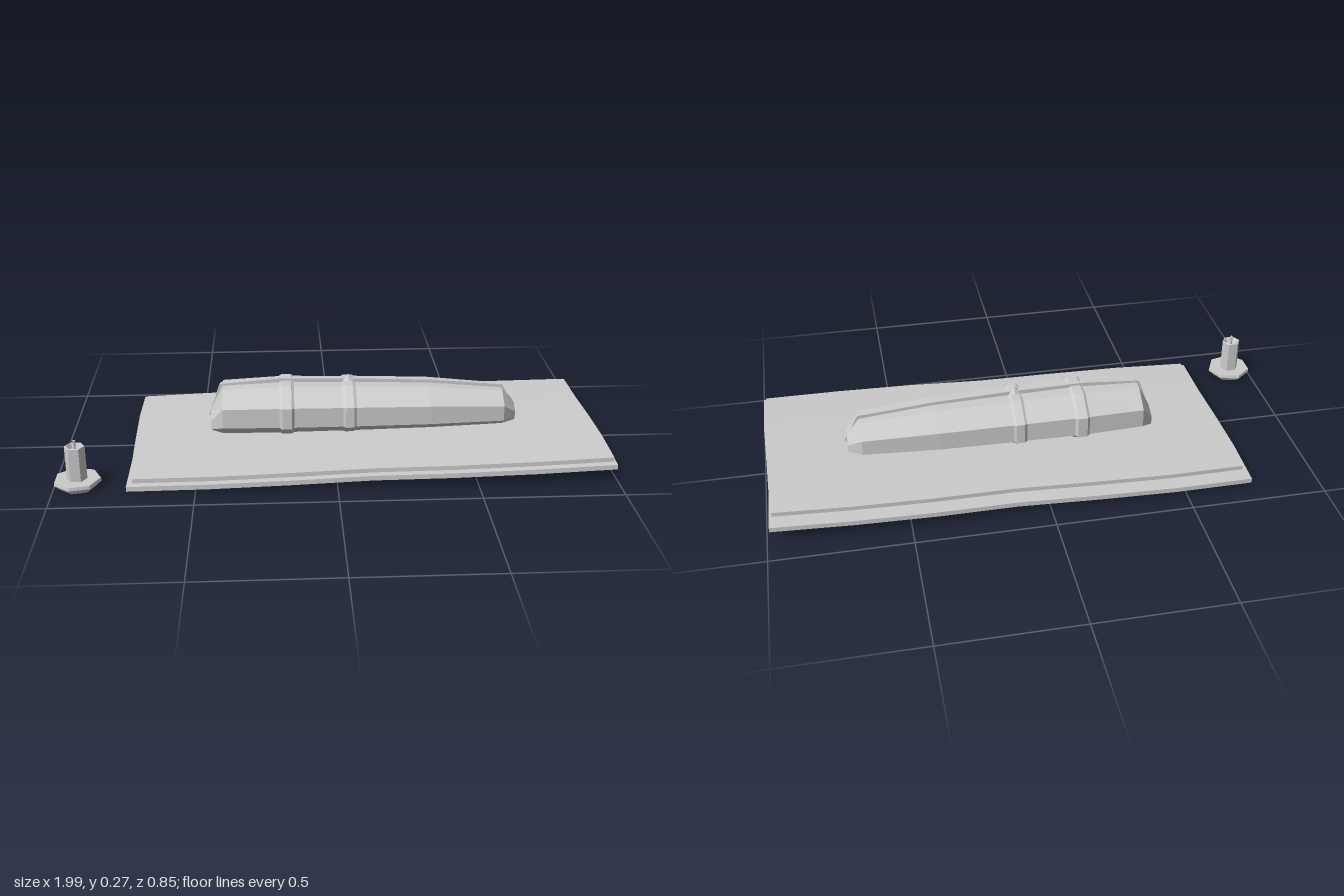
import * as THREE from 'three';

const grey = new THREE.MeshStandardMaterial({ color: 0xcccccc, flatShading: true });
grey.name = 'plain grey';

function part(name, geometry, x = 0, y = 0, z = 0) {
  const mesh = new THREE.Mesh(geometry, grey);
  mesh.name = name;
  mesh.position.set(x, y, z);
  return mesh;
}

// Closed skin through octagonal rings [x, centre y, half height, half width]
function loftAlongX(rings, zMid) {
  const n = 8, pos = [], index = [], k = 1 / Math.cos(Math.PI / n);
  for (const [x, cy, ry, rz] of rings) {
    for (let j = 0; j < n; j++) {
      const a = (j + 0.5) / n * Math.PI * 2;
      pos.push(x, cy + ry * k * Math.sin(a), zMid + rz * k * Math.cos(a));
    }
  }
  const last = (rings.length - 1) * n;
  for (let i = 0; i < last; i += n) {
    for (let j = 0; j < n; j++) {
      const a = i + j, b = i + (j + 1) % n;
      index.push(a, a + n, b, b, a + n, b + n);
    }
  }
  for (let j = 1; j < n - 1; j++) {
    index.push(0, j, j + 1, last, last + j + 1, last + j);
  }
  const g = new THREE.BufferGeometry();
  g.setAttribute('position', new THREE.Float32BufferAttribute(pos, 3));
  g.setIndex(index);
  g.computeVertexNormals();
  return g;
}

// Slab of cloth that climbs toward +x, arches gently and has wavy edges
function cloth(x0, x1, z0, z1, lift, thick) {
  const g = new THREE.BoxGeometry(x1 - x0, thick, z1 - z0, 6, 1, 4);
  g.translate((x0 + x1) / 2, lift + thick / 2, (z0 + z1) / 2);
  const p = g.attributes.position;
  for (let i = 0; i < p.count; i++) {
    const x = p.getX(i), z = p.getZ(i);
    const arch = 0.009 * (1 - ((z + 0.08) / 0.45) ** 2);
    p.setY(i, p.getY(i) + 0.026 + 0.025 * x + arch);
    p.setX(i, x + 0.006 * Math.sin(z * 6));
    p.setZ(i, z + 0.006 * Math.sin(x * 7 + 4) * Math.sign(z));
  }
  g.computeVertexNormals();
  return g;
}

function createModel() {
  const model = new THREE.Group();
  model.name = 'wrappedBundleWithCandle';

  // Two layers of ground cloth
  model.add(part('lowerCloth', cloth(-0.745, 0.99, -0.42, 0.405, 0, 0.018)));
  model.add(part('upperCloth', cloth(-0.725, 0.98, -0.365, 0.385, 0.021, 0.016)));

  // Wrapped bundle, with two raised straps
  model.add(part('bundle', loftAlongX([
    [-0.455, 0.11, 0.04, 0.083],
    [-0.41, 0.15, 0.088, 0.122],
    [-0.2, 0.155, 0.092, 0.137],
    [-0.19, 0.155, 0.098, 0.147],
    [-0.155, 0.155, 0.098, 0.147],
    [-0.145, 0.155, 0.092, 0.137],
    [0.035, 0.153, 0.09, 0.133],
    [0.045, 0.153, 0.095, 0.14],
    [0.075, 0.153, 0.095, 0.14],
    [0.085, 0.153, 0.09, 0.133],
    [0.36, 0.15, 0.085, 0.125],
    [0.64, 0.14, 0.07, 0.098],
    [0.69, 0.115, 0.035, 0.055],
  ], -0.007)));

  // Narrow seam over the top and down both ends
  const seam = new THREE.Shape([
    [-0.465, 0.12], [-0.42, 0.245], [-0.2, 0.262], [0.06, 0.258], [0.36, 0.247], [0.645, 0.222], [0.7, 0.12],
    [0.68, 0.115], [0.62, 0.19], [0.36, 0.22], [0.06, 0.23], [-0.2, 0.23], [-0.39, 0.22], [-0.445, 0.12],
  ].map(([x, y]) => new THREE.Vector2(x, y)));
  model.add(part('seam', new THREE.ExtrudeGeometry(seam, { depth: 0.016, bevelEnabled: false }), 0, 0, -0.015));
  model.add(part('seamPull', new THREE.ConeGeometry(0.023, 0.024, 6), 0.06, 0.262, -0.007));

  // Candle on a faceted dish
  const candle = new THREE.Group();
  candle.name = 'candle';
  candle.position.set(-0.917, 0, 0.338);
  const dish = part('dish', new THREE.LatheGeometry([
    [0, 0], [0.062, 0], [0.085, 0.022], [0.083, 0.034], [0, 0.032],
  ].map(([r, y]) => new THREE.Vector2(r, y)), 7));
  dish.rotation.y = Math.PI / 2;
  const stick = part('candleStick', new THREE.LatheGeometry([
    [0.036, 0.025], [0.036, 0.157], [0.031, 0.159], [0.02, 0.143], [0, 0.143],
  ].map(([r, y]) => new THREE.Vector2(r, y)), 6));
  stick.rotation.y = Math.PI / 6;
  candle.add(dish, stick, part('wick', new THREE.CylinderGeometry(0.005, 0.005, 0.038, 6), 0, 0.16, 0));
  model.add(candle);

  return model;
}

export { createModel };
